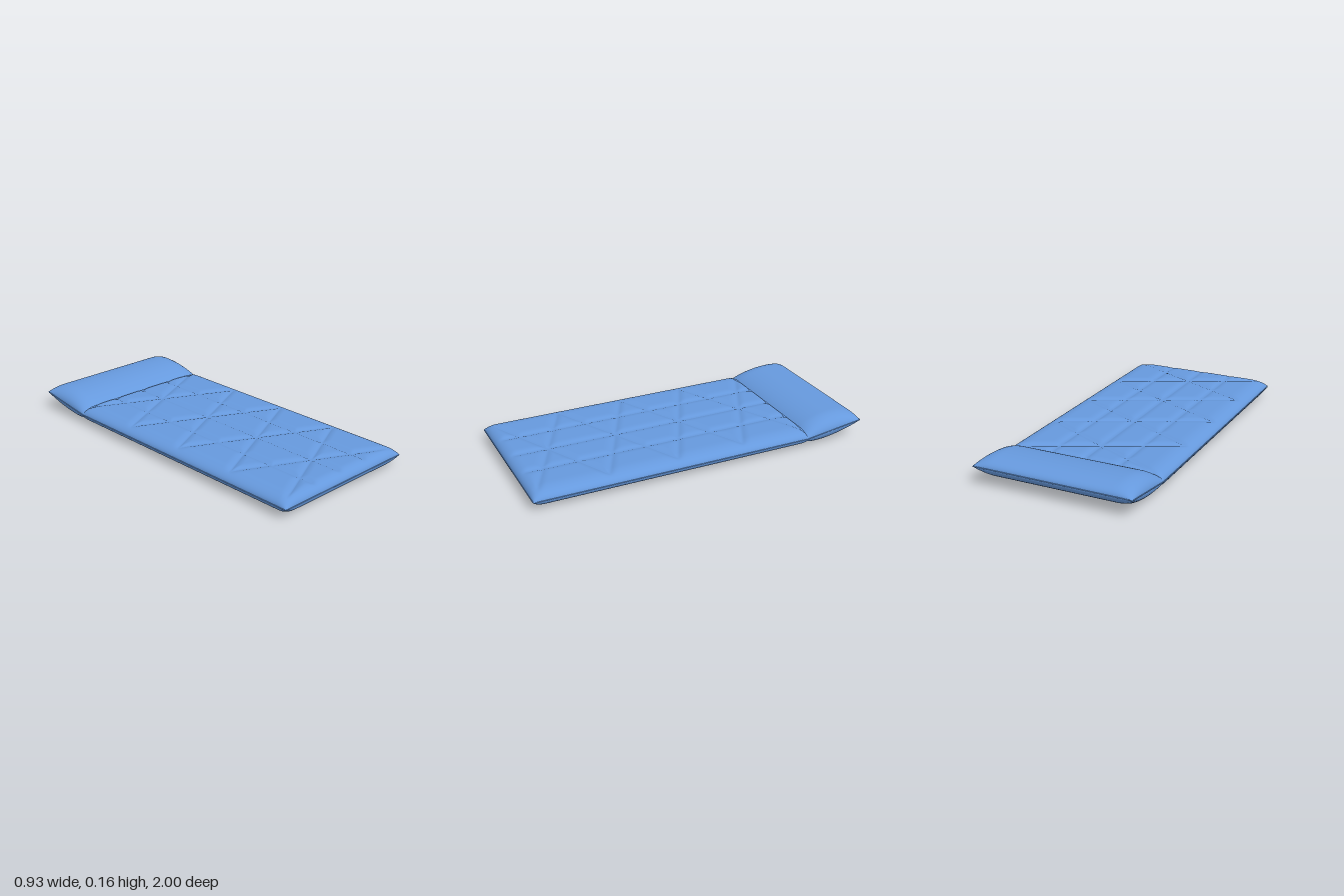
import * as THREE from 'three';

const HALF_W = 0.46, JOINT = -0.64, FRONT = 0.996, BACK = -0.996, MID = 0.06;

// quarter-ellipse rise from 0 at the rim to 1 at distance w
const edge = (d, w) => {
  const k = 1 - Math.min(Math.max(d / w, 0), 1);
  return Math.sqrt(Math.max(0, 1 - k * k));
};
// evenly spaced values, or crowded towards b when ease is set
const steps = (a, b, n, ease = false) => Array.from({ length: n + 1 }, (_, i) => {
  const t = i / n;
  return a + (b - a) * (ease ? 1 - (1 - t) ** 2 : t);
});

// columns crowded at both rims, even across the quilting
const side = steps(0.41, HALF_W, 10, true).slice(1);
const columns = [...side.map(x => -x).reverse(), ...steps(-0.41, 0.41, 60), ...side];

// closed cushion: upper and lower sheets around a middle height
function cushion(zs, midY, half) {
  const pos = [], idx = [], nx = columns.length, count = nx * zs.length;
  for (const s of [1, -1])
    for (const z of zs) for (const x of columns) pos.push(x, midY(z) + s * half(x, z), z);
  const rim = (r, c) => c === 0 || c === nx - 1;
  for (let r = 0; r < zs.length - 1; r++)
    for (let c = 0; c < nx - 1; c++) {
      const a = r * nx + c, b = a + 1, d = a + nx, e = d + 1;
      idx.push(a, d, b, b, d, e);
      // lower sheet shares the side rims with the upper one
      const low = (i, cc) => rim(r, cc) ? i : i + count;
      const A = low(a, c), B = low(b, c + 1), D = low(d, c), E = low(e, c + 1);
      idx.push(A, B, D, B, E, D);
    }
  const geo = new THREE.BufferGeometry();
  geo.setAttribute('position', new THREE.Float32BufferAttribute(pos, 3));
  geo.setIndex(idx);
  geo.computeVertexNormals();
  return geo;
}

// stitched groove strength, 1 on a seam line
function groove(x, z) {
  const lines = [Math.abs(x), Math.abs(Math.abs(x) - 0.205)];
  for (const s of [1, -1]) {
    const v = (z + 0.44 - s * x * 0.2 / 0.41) / 0.4;
    lines.push(Math.abs(v - Math.round(v)) * 0.4 * 0.9);
  }
  const d = Math.min(...lines);
  return Math.max(0, 1 - d / 0.045) ** 2;
}

function matHalf(x, z) {
  const inX = HALF_W - Math.abs(x), inZ = FRONT - z;
  const pinch = 0.72 + 0.28 * edge(z - JOINT, 0.04);
  const fade = Math.min(1, Math.max(0, (inX - 0.03) / 0.04)) * Math.min(1, Math.max(0, (inZ - 0.02) / 0.04));
  return (0.049 * pinch - 0.011 * groove(x, z) * fade) * edge(inX, 0.1) * edge(inZ, 0.07);
}

// headrest thickness along its length, s = 0 at the joint and 1 at the back rim
const along = z => (JOINT - z) / (JOINT - BACK);
const headMid = z => MID + 0.05 * along(z);
function headHalf(x, z) {
  const s = along(z) - 0.42, k = s / (s < 0 ? 0.485 : 0.58);
  return 0.073 * Math.sqrt(Math.max(0, 1 - k * k)) * edge(HALF_W - Math.abs(x), 0.11);
}

export function createModel() {
  const group = new THREE.Group();
  const blue = new THREE.MeshStandardMaterial({ color: 0x6699dd, side: THREE.DoubleSide });
  blue.name = 'blue fabric';
  const add = (name, geo) => {
    const mesh = new THREE.Mesh(geo, blue);
    mesh.name = name;
    group.add(mesh);
  };

  // quilted mat
  const matRows = [...steps(JOINT, 0.96, 240), ...steps(0.96, FRONT, 8, true).slice(1)];
  add('quiltedMat', cushion(matRows, () => MID, matHalf));

  // raised pillow at the back
  const headRows = [...steps(BACK, -0.95, 10).map((z, i) => BACK + (z - BACK) * i / 10),
    ...steps(-0.95, JOINT, 30).slice(1)];
  add('pillow', cushion(headRows, headMid, headHalf));

  // thin piping round the rim
  const corners = [
    [-HALF_W, MID, JOINT], [-HALF_W, MID, FRONT], [HALF_W, MID, FRONT],
    [HALF_W, MID, JOINT], [HALF_W, headMid(BACK), BACK], [-HALF_W, headMid(BACK), BACK],
  ].map(p => new THREE.Vector3(...p));
  const path = new THREE.CurvePath();
  corners.forEach((p, i) => path.add(new THREE.LineCurve3(p, corners[(i + 1) % corners.length])));
  add('piping', new THREE.TubeGeometry(path, 400, 0.003, 6, true));

  return group;
}
